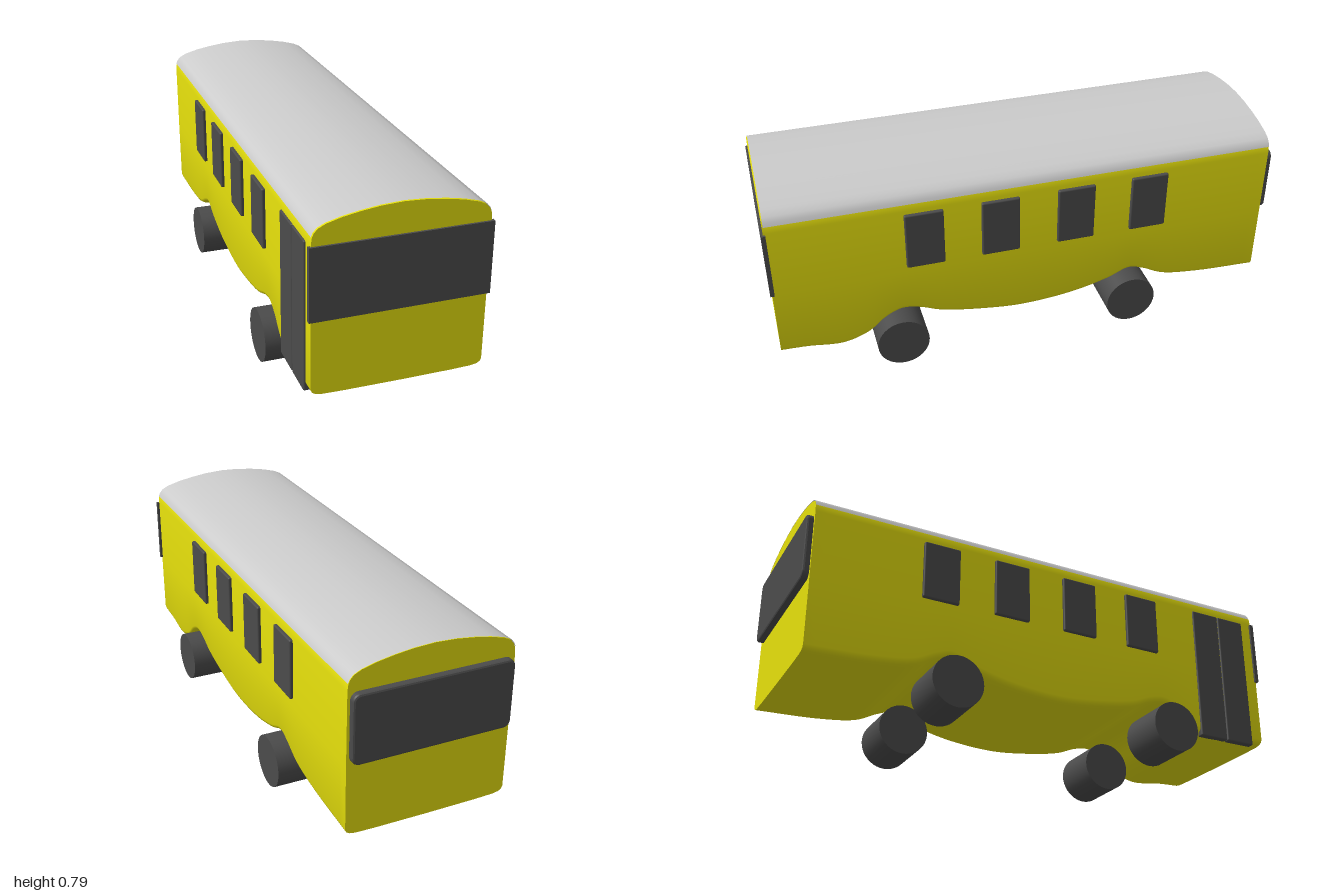
import * as THREE from 'three';
import { toCreasedNormals } from 'three/addons/utils/BufferGeometryUtils.js';
import { RoundedBoxGeometry } from 'three/addons/geometries/RoundedBoxGeometry.js';

const yellow = new THREE.MeshStandardMaterial({ color: 0xe6e00c });
const dark = new THREE.MeshStandardMaterial({ color: 0x4b4b4b });
const grey = new THREE.MeshStandardMaterial({ color: 0xcccccc, side: THREE.DoubleSide });

const BACK = -0.975, FRONT = 0.992;

// Right half of the arched roof line, from the wall up to the ridge
const arch = [[0.312, 0.705], [0.306, 0.72], [0.293, 0.735], [0.265, 0.749],
  [0.21, 0.764], [0.15, 0.775], [0.08, 0.784], [0, 0.788]];

// Wavy lower edge of the body: [z, y], rising over the wheels
const hem = new THREE.CatmullRomCurve3([
  [BACK, 0.12], [-0.72, 0.132], [-0.57, 0.155], [-0.48, 0.198], [-0.42, 0.215], [-0.33, 0.18],
  [-0.18, 0.143], [0.03, 0.126], [0.19, 0.14], [0.36, 0.172], [0.45, 0.207], [0.515, 0.217],
  [0.58, 0.19], [0.65, 0.133], [0.75, 0.1], [0.89, 0.114], [FRONT, 0.119],
].map(([z, y]) => new THREE.Vector3(0, y, z)));

const mirror = half => [...half, ...half.slice(0, -1).reverse().map(([x, y]) => [-x, y])];

// Skin a list of cross-sections { z, ring }; closed skins get flat end caps
function loft(sections, closed) {
  const pos = [], idx = [], n = sections[0].ring.length;
  for (const { z, ring } of sections) for (const [x, y] of ring) pos.push(x, y, z);
  const steps = closed ? n : n - 1;
  for (let i = 0; i < sections.length - 1; i++) {
    for (let j = 0; j < steps; j++) {
      const a = i * n + j, b = i * n + (j + 1) % n;
      idx.push(a, b, b + n, a, b + n, a + n);
    }
  }
  if (closed) {
    const last = (sections.length - 1) * n, c = pos.length / 3;
    pos.push(0, 0.45, sections[0].z, 0, 0.45, sections[sections.length - 1].z);
    for (let j = 0; j < n; j++) {
      const k = (j + 1) % n;
      idx.push(c, k, j, c + 1, last + j, last + k);
    }
  }
  const geo = new THREE.BufferGeometry();
  geo.setAttribute('position', new THREE.Float32BufferAttribute(pos, 3));
  geo.setIndex(idx);
  return toCreasedNormals(geo, 0.7);
}

export function createModel() {
  const bus = new THREE.Group();
  bus.name = 'bus';
  const add = (name, geo, mat, x = 0, y = 0, z = 0) => {
    const mesh = new THREE.Mesh(geo, mat);
    mesh.name = name;
    mesh.position.set(x, y, z);
    bus.add(mesh);
    return mesh;
  };

  // Body shell with softened lower corners
  const sections = hem.getPoints(96).map(({ y, z }) => ({
    z,
    ring: mirror([[0, y], [0.2, y + 0.001], [0.275, y + 0.003], [0.297, y + 0.007],
      [0.309, y + 0.014], [0.314, y + 0.026], [0.315, 0.4], [0.315, 0.68], ...arch]).slice(0, -1),
  }));
  add('body', loft(sections, true), yellow);

  // Roof skin just above the body arch
  const roofRing = mirror(arch.map(([x, y]) => [x * 1.006, y + 0.002]));
  add('roof', loft([{ z: BACK, ring: roofRing }, { z: FRONT - 0.004, ring: roofRing }], false), grey);

  // Windscreen and rear window
  add('windscreen', new THREE.BoxGeometry(0.648, 0.27, 0.016), dark, 0, 0.54, 0.992);
  const pane = new THREE.Shape();
  const w = 0.297, h = 0.125, r = 0.02;
  pane.moveTo(-w + r, -h);
  for (const [cx, cy, a] of [[w - r, r - h, -0.5], [w - r, h - r, 0], [r - w, h - r, 0.5], [r - w, r - h, 1]]) {
    pane.absarc(cx, cy, r, a * Math.PI, (a + 0.5) * Math.PI, false);
  }
  const rear = new THREE.ExtrudeGeometry(pane, {
    depth: 0.02, bevelThickness: 0.008, bevelSize: 0.008, bevelSegments: 2, curveSegments: 6,
  });
  add('rearWindow', rear, dark, 0, 0.541, -0.992);

  // Side windows
  const windowGeo = new RoundedBoxGeometry(0.03, 0.236, 0.148, 2, 0.006);
  for (const side of [-1, 1]) {
    for (const z of [0.415, 0.122, -0.178, -0.475]) {
      add('sideWindow', windowGeo, dark, side * 0.313, 0.548, z);
    }
  }

  // Two-leaf door on one side only
  const doorGeo = new RoundedBoxGeometry(0.03, 0.565, 0.127, 2, 0.006);
  for (const z of [0.745, 0.875]) add('doorLeaf', doorGeo, dark, -0.307, 0.39, z);

  // Wheels
  const wheelGeo = new THREE.CylinderGeometry(0.1015, 0.1015, 0.201, 40).rotateZ(Math.PI / 2);
  for (const x of [-0.2625, 0.2625]) {
    for (const z of [0.527, -0.415]) add('wheel', wheelGeo, dark, x, 0.1015, z);
  }
  return bus;
}
